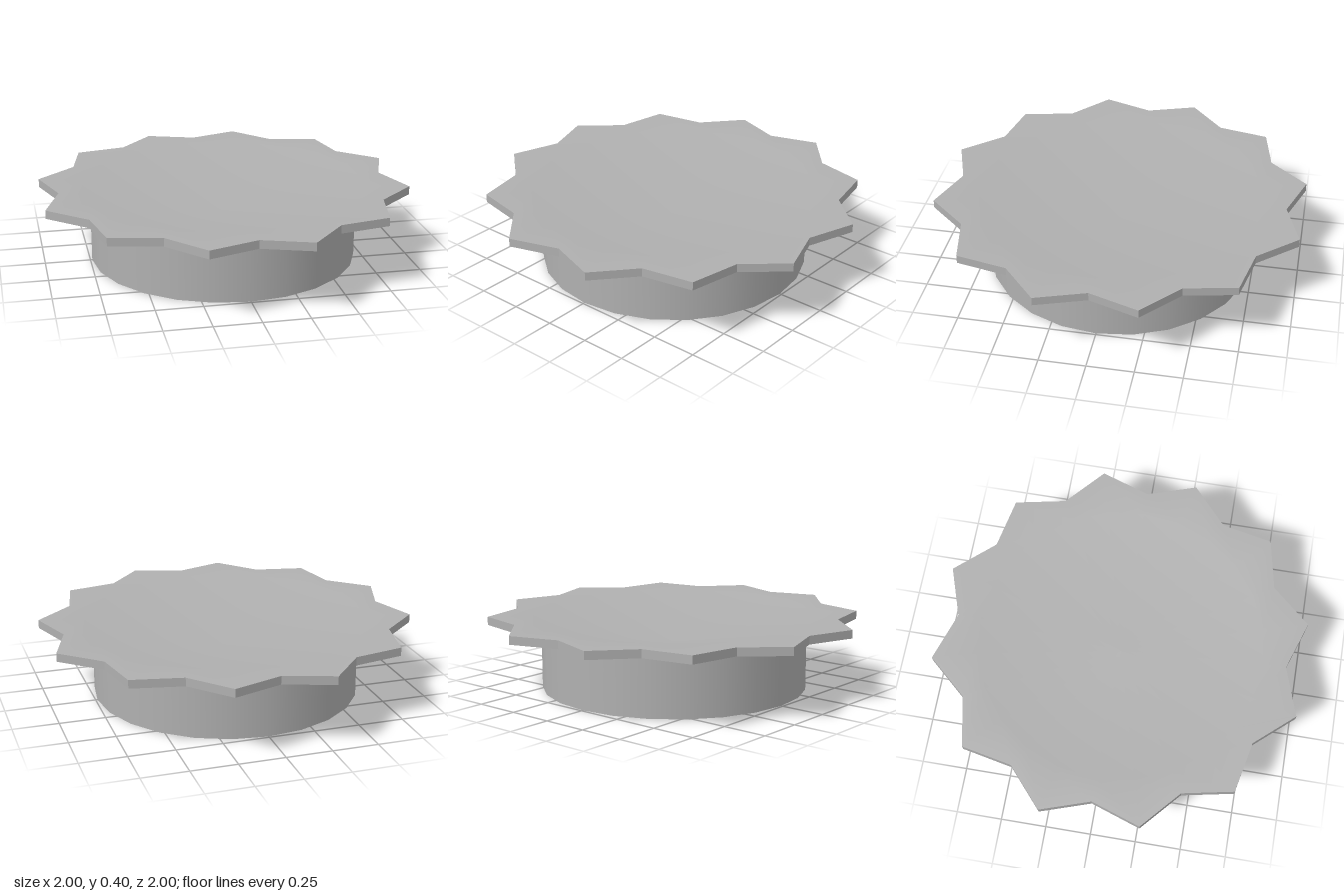
import * as THREE from 'three';
import { toCreasedNormals } from 'three/addons/utils/BufferGeometryUtils.js';

const POINTS = 12;        // star tips
const TIP = 1.035;        // tip radius
const VALLEY = 0.91;      // radius between tips
const PLATE_Y = 0.357;    // underside of the rim
const PLATE_TOP = 0.403;
const DISH_R = 0.785;     // where the flat rim ends and the plate starts to sink
const DISH = 0.157;       // how far the plate sinks at its centre
const COLLAR_R = 0.74;
const COLLAR_H = 0.317;

// Star-edged plate with a flat rim, sunk to a shallow cone on both faces
function starDish() {
  const profile = [
    [0, PLATE_Y - DISH], [DISH_R, PLATE_Y], [1, PLATE_Y],
    [1, PLATE_TOP], [DISH_R, PLATE_TOP], [0, PLATE_TOP - DISH],
  ].map(([r, y]) => new THREE.Vector2(r, y));
  const geometry = new THREE.LatheGeometry(profile, POINTS * 2);
  const p = geometry.attributes.position;
  for (let i = 0; i < p.count; i++) {
    const x = p.getX(i), z = p.getZ(i);
    if (Math.hypot(x, z) < 0.9) continue;
    const step = Math.round((Math.atan2(x, z) * POINTS) / Math.PI);
    const r = step % 2 ? TIP : VALLEY;
    p.setXYZ(i, x * r, p.getY(i), z * r);
  }
  return toCreasedNormals(geometry, Math.PI / 6);
}

export function createModel() {
  const model = new THREE.Group();
  const grey = new THREE.MeshStandardMaterial({ color: 0xb0b0b0, side: THREE.DoubleSide });
  grey.name = 'grey';

  const add = (name, geometry, y) => {
    const mesh = new THREE.Mesh(geometry, grey);
    mesh.name = name;
    mesh.position.y = y;
    model.add(mesh);
  };

  add('starPlate', starDish(), 0);

  // Thin collar, open at both ends, around the sunken middle of the plate
  add('collar', new THREE.CylinderGeometry(COLLAR_R, COLLAR_R, COLLAR_H, 24, 1, true), COLLAR_H / 2);

  return model;
}
